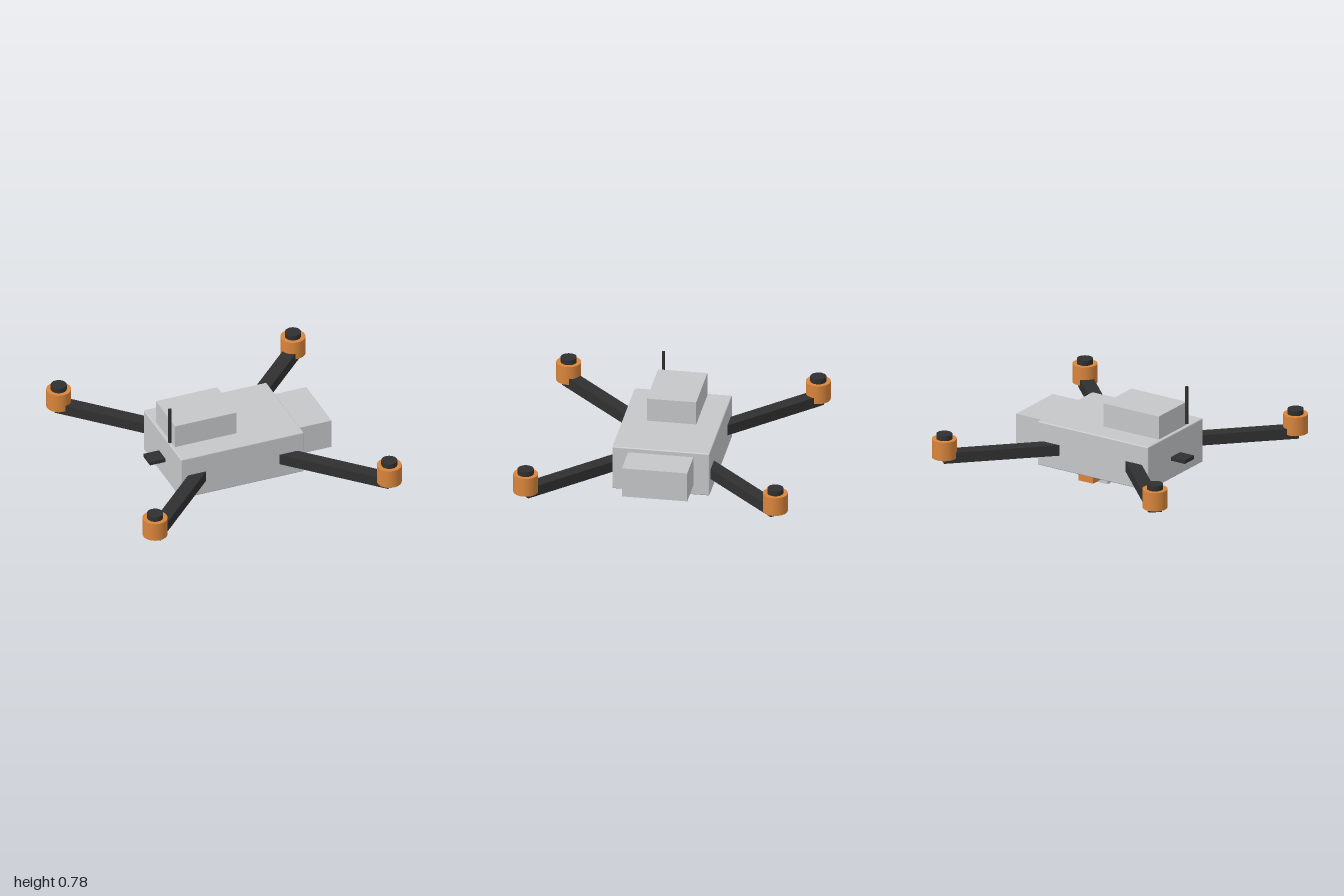
import * as THREE from 'three';
import { RoundedBoxGeometry } from 'three/addons/geometries/RoundedBoxGeometry.js';

const material = (name, color) => {
  const m = new THREE.MeshStandardMaterial({ color });
  m.name = name;
  return m;
};

export function createModel() {
  const drone = new THREE.Group();
  drone.name = 'drone';
  const grey = material('shell grey', 0xc5c7c9);
  const dark = material('carbon black', 0x303030);
  const orange = material('motor orange', 0xd9853b);
  const glass = material('lens glass', 0x26282a);

  const add = (name, geometry, mat, x, y, z, parent = drone) => {
    const mesh = new THREE.Mesh(geometry, mat);
    mesh.name = name;
    mesh.position.set(x, y, z);
    parent.add(mesh);
    return mesh;
  };
  // Box given by its limits on each axis
  const box = (name, mat, [x0, x1], [y0, y1], [z0, z1]) =>
    add(name, new THREE.BoxGeometry(x1 - x0, y1 - y0, z1 - z0), mat,
      (x0 + x1) / 2, (y0 + y1) / 2, (z0 + z1) / 2);
  // Cylinder lying along x
  const barrel = (name, mat, r, x0, x1, y, z) =>
    add(name, new THREE.CylinderGeometry(r, r, x1 - x0, 32).rotateZ(-Math.PI / 2), mat,
      (x0 + x1) / 2, y, z);

  // Hull with its nose and top modules
  add('body', new RoundedBoxGeometry(0.955, 0.335, 0.71, 2, 0.008), grey, -0.002, 0.2975, 0);
  box('noseModule', grey, [0.47, 0.738], [0.205, 0.43], [-0.238, 0.238]);
  box('battery', grey, [-0.455, 0.022], [0.46, 0.642], [-0.18, 0.18]);

  // Tail plate and antenna
  box('tailPlate', dark, [-0.6, -0.475], [0.27, 0.298], [-0.06, 0.06]);
  add('antenna', new THREE.CylinderGeometry(0.012, 0.012, 0.285, 16), dark, -0.48, 0.633, 0.145);

  // Main camera under the hull
  box('cameraHousing', grey, [0.028, 0.258], [0, 0.135], [-0.12, 0.12]);
  barrel('cameraLens', dark, 0.09, 0.25, 0.298, 0.113, 0);
  barrel('cameraGlass', glass, 0.072, 0.29, 0.3, 0.113, 0);

  // Small second sensor beside it
  box('sensorHousing', orange, [0.08, 0.205], [0.027, 0.135], [-0.228, -0.12]);
  barrel('sensorLens', dark, 0.04, 0.2, 0.235, 0.088, -0.17);

  // Four diagonal arms carrying the motors
  const inner = 0.45, outer = 1.3;
  for (const sx of [1, -1]) for (const sz of [1, -1]) {
    const unit = new THREE.Group();
    unit.name = `${sz > 0 ? 'front' : 'back'}${sx > 0 ? 'Left' : 'Right'}Rotor`;
    unit.rotation.y = Math.atan2(-sz, sx);
    drone.add(unit);
    add('arm', new THREE.BoxGeometry(outer - inner, 0.08, 0.1), dark,
      (inner + outer) / 2, 0.28, 0, unit);
    const d = 0.91 * Math.SQRT2;
    add('motor', new THREE.CylinderGeometry(0.09, 0.09, 0.142, 32), orange, d, 0.346, 0, unit);
    add('motorCap', new THREE.CylinderGeometry(0.058, 0.058, 0.05, 32), dark, d, 0.43, 0, unit);
  }
  return drone;
}
